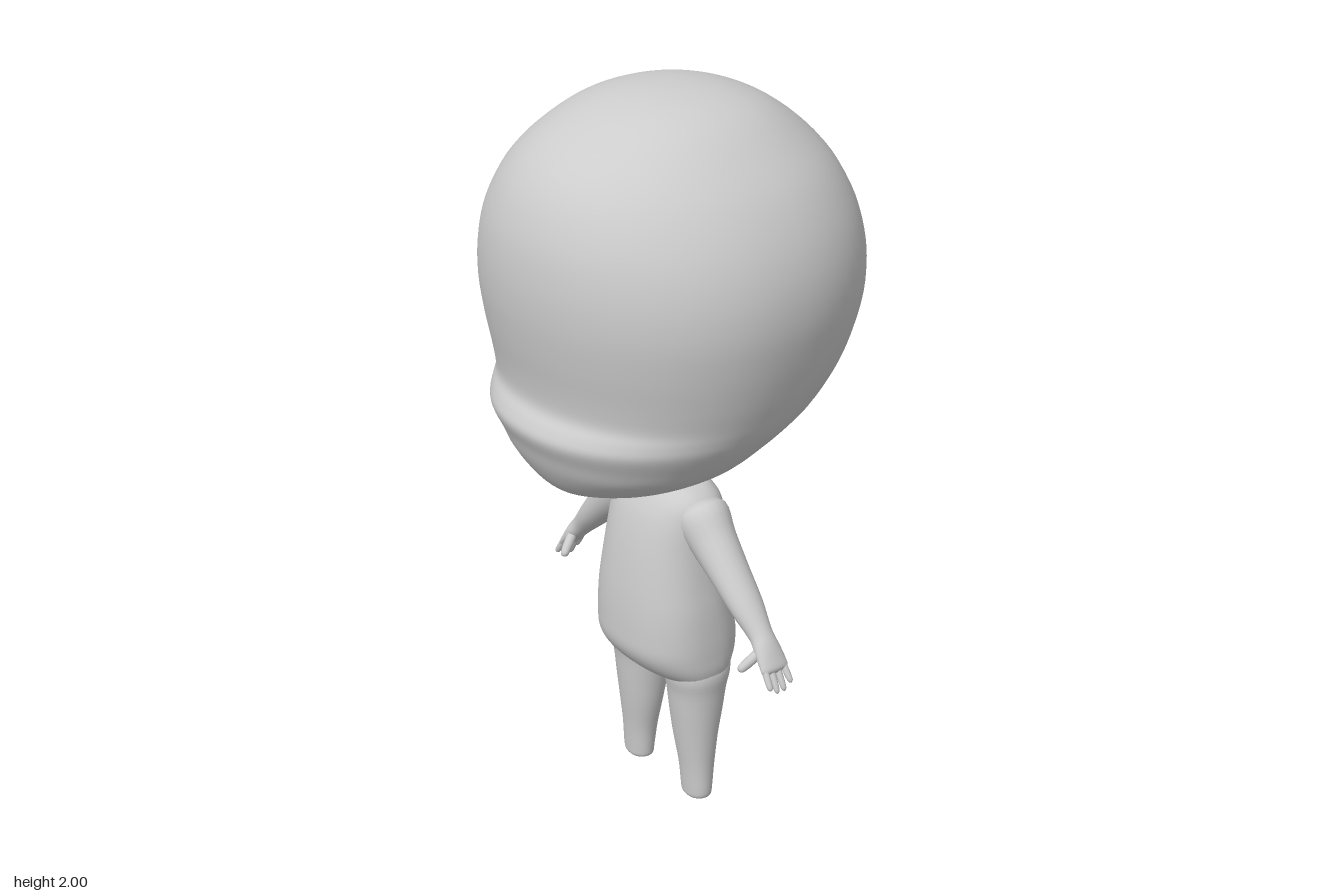
import * as THREE from 'three';

const skin = new THREE.MeshStandardMaterial({ color: 0xcccccc });
skin.name = 'plain grey';
const skinOpen = new THREE.MeshStandardMaterial({ color: 0xcccccc, side: THREE.DoubleSide });
skinOpen.name = 'plain grey two-sided';

// Smoothly resample a list of cross-section rows
function smoothRows(rows, steps) {
  const at = (i) => rows[Math.min(Math.max(i, 0), rows.length - 1)];
  const out = [];
  for (let i = 0; i < rows.length - 1; i++) {
    for (let s = 0; s < steps; s++) {
      const t = s / steps;
      out.push(at(i).map((b, k) => {
        const a = at(i - 1)[k], c = at(i + 1)[k], d = at(i + 2)[k];
        return b + 0.5 * t * (c - a + t * (2 * a - 5 * b + 4 * c - d + t * (3 * (b - c) + d - a)));
      }));
    }
  }
  out.push(at(rows.length - 1));
  return out;
}

// Skin closed rings of points, first ring to last
function loft(name, rings) {
  const n = rings[0].length, index = [];
  for (let i = 0; i < rings.length - 1; i++) {
    for (let j = 0; j < n; j++) {
      const a = i * n + j, b = i * n + (j + 1) % n;
      index.push(a, b, a + n, b, b + n, a + n);
    }
  }
  const geometry = new THREE.BufferGeometry().setFromPoints(rings.flat());
  geometry.setIndex(index);
  geometry.computeVertexNormals();
  const mesh = new THREE.Mesh(geometry, skin);
  mesh.name = name;
  return mesh;
}

// Horizontal sections, top to bottom: [y, centreX, halfWidth, frontZ, backZ, widestZ]
function stack(name, rows, power = 2, n = 48, side = 1) {
  const bend = (v) => Math.sign(v) * Math.abs(v) ** (2 / power);
  return loft(name, smoothRows(rows, 4).map(([y, cx, w, front, back, mid]) =>
    Array.from({ length: n }, (_, j) => {
      const a = j / n * Math.PI * 2, c = bend(Math.cos(a)), s = bend(Math.sin(a));
      return new THREE.Vector3(cx * side + w * c, y, mid + s * (s > 0 ? front - mid : mid - back));
    })));
}

// Limb sections along a path: [x, y, z, thickness radius, width radius]
function limb(name, rows, side, n = 20) {
  const list = smoothRows(rows, 4);
  const centre = (r) => new THREE.Vector3(r[0] * side, r[1], r[2]);
  const dir = centre(rows[rows.length - 1]).sub(centre(rows[0])).normalize();
  const u = dir.clone().cross(new THREE.Vector3(0, 0, 1)).normalize();
  const v = dir.clone().cross(u);
  return loft(name, list.map((r) => Array.from({ length: n }, (_, j) => {
    const a = j / n * Math.PI * 2;
    return centre(r).addScaledVector(u, r[3] * Math.cos(a)).addScaledVector(v, r[4] * Math.sin(a));
  })));
}

function finger(name, from, to, radius, side) {
  const mix = (t, r) => [0, 1, 2].map((k) => from[k] + (to[k] - from[k]) * t).concat(r, r);
  return limb(name, [mix(0, radius), mix(0.5, radius), mix(0.85, radius * 0.85),
    mix(0.96, radius * 0.5), mix(1, 0)], side, 10);
}

export function createModel() {
  const model = new THREE.Group();
  model.name = 'bigHeadedFigure';

  // Round skull with a recessed face, lip ridge and flat-bottomed jaw
  model.add(stack('head', [
    [2, 0, 0, 0, 0, 0],
    [1.996, 0, 0.07, 0.075, -0.07, 0],
    [1.98, 0, 0.155, 0.16, -0.15, 0],
    [1.945, 0, 0.24, 0.255, -0.235, 0],
    [1.88, 0, 0.32, 0.36, -0.325, 0],
    [1.8, 0, 0.395, 0.428, -0.397, 0],
    [1.7, 0, 0.453, 0.468, -0.45, 0.01],
    [1.6, 0, 0.484, 0.482, -0.476, 0.02],
    [1.5, 0, 0.491, 0.48, -0.48, 0.03],
    [1.4, 0, 0.478, 0.466, -0.46, 0.04],
    [1.31, 0, 0.457, 0.449, -0.42, 0.05],
    [1.25, 0, 0.438, 0.445, -0.372, 0.06],
    [1.215, 0, 0.425, 0.466, -0.335, 0.07],
    [1.18, 0, 0.408, 0.478, -0.29, 0.09],
    [1.13, 0, 0.375, 0.457, -0.2, 0.11],
    [1.08, 0, 0.33, 0.437, -0.125, 0.14],
    [1.03, 0, 0.25, 0.407, -0.085, 0.16],
    [1, 0, 0.17, 0.378, -0.07, 0.17],
    [0.978, 0, 0.1, 0.335, -0.058, 0.17],
    [0.966, 0, 0.05, 0.26, -0.03, 0.16],
    [0.964, 0, 0, 0.16, 0.16, 0.16],
  ], 2.1, 64));

  // Small flat flap on the right side of the face
  const flap = new THREE.BufferGeometry().setFromPoints([
    [-0.46, 1.56, 0.225], [-0.44, 1.44, 0.25], [-0.36, 1.45, 0.31], [-0.39, 1.59, 0.29],
  ].map((p) => new THREE.Vector3(...p)));
  flap.setIndex([0, 1, 2, 0, 2, 3]);
  flap.computeVertexNormals();
  const flapMesh = new THREE.Mesh(flap, skinOpen);
  flapMesh.name = 'rightFlap';
  model.add(flapMesh);

  // Neck, shoulders, belly and seat in one skin
  model.add(stack('torso', [
    [1.03, 0, 0.07, 0.1, -0.075, 0.01],
    [0.97, 0, 0.062, 0.083, -0.055, 0.015],
    [0.948, 0, 0.075, 0.083, -0.056, 0.015],
    [0.935, 0, 0.125, 0.092, -0.062, 0.015],
    [0.9, 0, 0.165, 0.117, -0.085, 0.015],
    [0.85, 0, 0.172, 0.14, -0.1, 0.018],
    [0.77, 0, 0.174, 0.16, -0.1, 0.025],
    [0.68, 0, 0.184, 0.174, -0.09, 0.03],
    [0.6, 0, 0.196, 0.182, -0.108, 0.03],
    [0.52, 0, 0.203, 0.185, -0.132, 0.025],
    [0.46, 0, 0.205, 0.181, -0.133, 0.02],
    [0.41, 0, 0.203, 0.15, -0.11, 0.015],
    [0.375, 0, 0.185, 0.105, -0.077, 0.012],
    [0.357, 0, 0.11, 0.065, -0.04, 0.01],
    [0.352, 0, 0, 0.01, 0.01, 0.01],
  ], 2.35));

  for (const [label, side] of [['left', 1], ['right', -1]]) {
    // Tapered leg with an open end at the floor
    const leg = stack(label + 'Leg', [
      [0.47, 0.115, 0.06, 0.09, -0.07, 0.015],
      [0.4, 0.12, 0.083, 0.105, -0.082, 0.015],
      [0.34, 0.12, 0.08, 0.094, -0.067, 0.015],
      [0.27, 0.121, 0.075, 0.086, -0.053, 0.016],
      [0.19, 0.123, 0.067, 0.076, -0.037, 0.018],
      [0.1, 0.129, 0.055, 0.064, -0.025, 0.02],
      [0.03, 0.132, 0.051, 0.058, -0.016, 0.021],
      [0.008, 0.132, 0.048, 0.056, -0.013, 0.021],
      [0, 0.132, 0.04, 0.052, -0.008, 0.021],
    ], 2.1, 32, side);
    model.add(leg);

    // Arm running into a flat palm
    model.add(limb(label + 'Arm', [
      [0.09, 0.885, 0.015, 0.02, 0.03],
      [0.14, 0.868, 0.017, 0.072, 0.07],
      [0.2, 0.81, 0.02, 0.064, 0.062],
      [0.265, 0.748, 0.02, 0.051, 0.055],
      [0.335, 0.678, 0.018, 0.04, 0.047],
      [0.39, 0.622, 0.017, 0.03, 0.034],
      [0.418, 0.592, 0.018, 0.025, 0.038],
      [0.443, 0.56, 0.018, 0.017, 0.042],
      [0.455, 0.542, 0.018, 0.012, 0.039],
      [0.459, 0.537, 0.018, 0, 0],
    ], side));

    // Four fingers and a thumb
    const hand = new THREE.Group();
    hand.name = label + 'Fingers';
    [[0.052, 0.503], [0.029, 0.488], [0.006, 0.488], [-0.016, 0.505]].forEach(([z, y], i) => {
      hand.add(finger(label + 'Finger' + (i + 1), [0.438, 0.565, 0.018 + (z - 0.018) * 0.85],
        [0.48, y, z], 0.0095, side));
    });
    hand.add(finger(label + 'Thumb', [0.418, 0.59, 0.035], [0.393, 0.536, 0.09], 0.014, side));
    model.add(hand);
  }
  return model;
}
